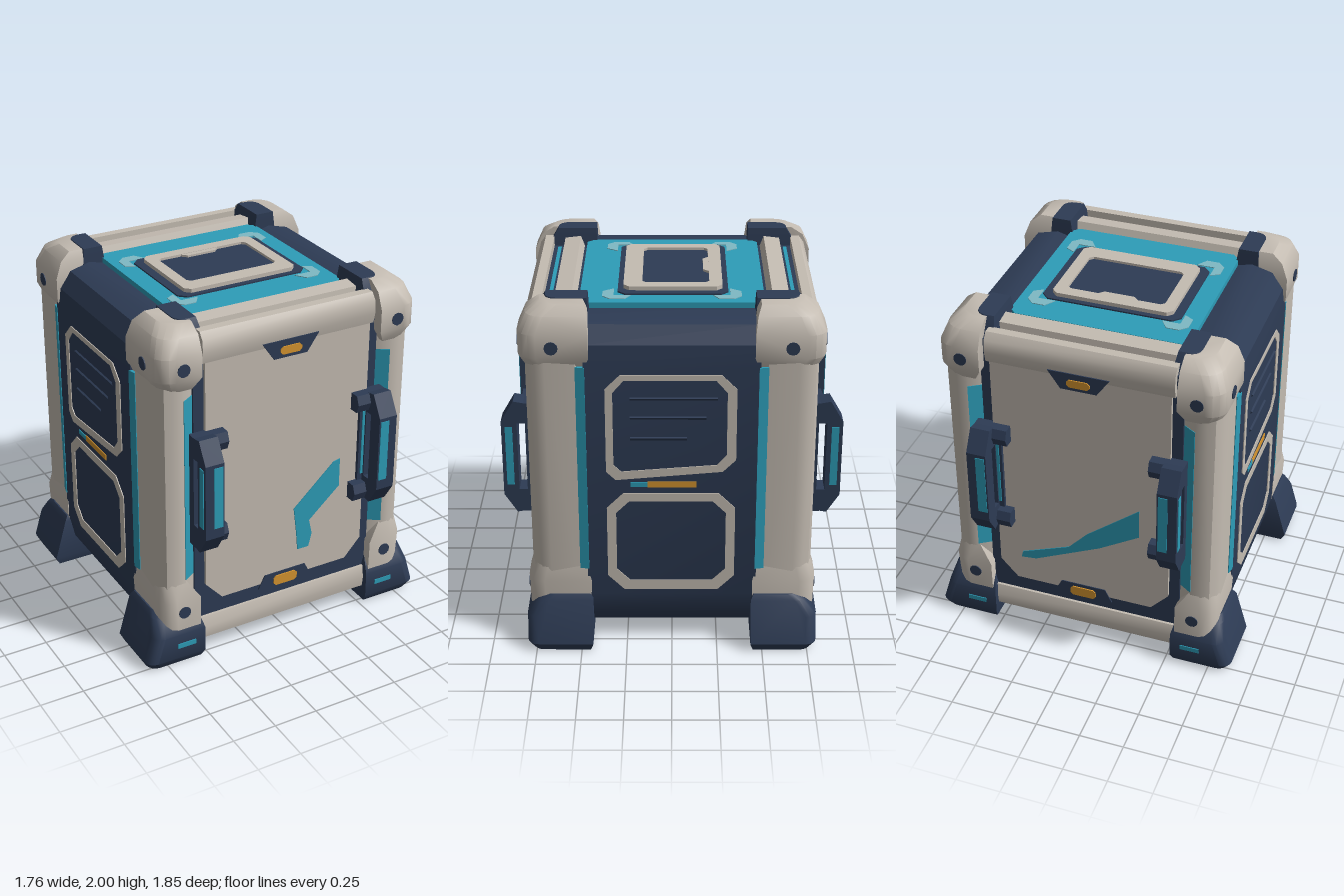
import * as THREE from 'three';
import { toCreasedNormals } from 'three/addons/utils/BufferGeometryUtils.js';
import { ConvexGeometry } from 'three/addons/geometries/ConvexGeometry.js';

const mat = (name, color) => Object.assign(new THREE.MeshStandardMaterial({ color }), { name });
const beige = mat('warm beige', 0xc4bcb2);
const navy = mat('navy', 0x2d3b54);
const teal = mat('teal', 0x2d9db8);
const orange = mat('orange', 0xd6952f);
const pale = mat('pale teal', 0x7fb9c4);

function add(parent, name, geometry, material) {
  const mesh = new THREE.Mesh(geometry, material);
  mesh.name = name;
  parent.add(mesh);
  return mesh;
}

function group(parent, name) {
  const g = new THREE.Group();
  g.name = name;
  parent.add(g);
  return g;
}

// Box given by its limits
function box(x0, x1, y0, y1, z0, z1) {
  return new THREE.BoxGeometry(x1 - x0, y1 - y0, z1 - z0)
    .translate((x0 + x1) / 2, (y0 + y1) / 2, (z0 + z1) / 2);
}

// Flat polygon with optional hole, extruded from z0 to z1
function prism(points, z0, z1, hole) {
  const vec = (list) => list.map(([x, y]) => new THREE.Vector2(x, y));
  const shape = new THREE.Shape(vec(points));
  if (hole) shape.holes.push(new THREE.Path(vec(hole)));
  return new THREE.ExtrudeGeometry(shape, { depth: z1 - z0, bevelEnabled: false }).translate(0, 0, z0);
}

// Profile in (z, y) extruded along x
const alongX = (profile, x0, x1, hole) => prism(profile, -x1, -x0, hole).rotateY(-Math.PI / 2);
// Profile in (x, z) extruded along y
const alongY = (profile, y0, y1) => prism(profile, -y1, -y0).rotateX(Math.PI / 2);

// Rectangle with cut corners
function octagon(x0, x1, y0, y1, c) {
  return [[x0 + c, y0], [x1 - c, y0], [x1, y0 + c], [x1, y1 - c],
    [x1 - c, y1], [x0 + c, y1], [x0, y1 - c], [x0, y0 + c]];
}

// Corner block from levels [y, x0, x1, z0, z1], outer corner rounded by c
function cornerBlock(levels, c) {
  const points = [];
  for (const [y, x0, x1, z0, z1] of levels) {
    points.push(new THREE.Vector3(x0, y, z0), new THREE.Vector3(x1, y, z0), new THREE.Vector3(x0, y, z1));
    for (let i = 0; i <= 4; i++) {
      const a = (i / 4) * Math.PI / 2;
      points.push(new THREE.Vector3(x1 - c + c * Math.cos(a), y, z1 - c + c * Math.sin(a)));
    }
  }
  return toCreasedNormals(new ConvexGeometry(points), 0.6);
}

// One corner: post, cap, foot and bolts, for +x and +z
function buildCorner(root, sx, sz) {
  const g = group(root, 'corner');
  g.scale.set(sx, 1, sz);
  const section = [[0.55, 0.45], [0.72, 0.45], [0.77, 0.5], [0.775, 0.66], [0.765, 0.71],
    [0.735, 0.75], [0.69, 0.765], [0.63, 0.765], [0.56, 0.72]];
  add(g, 'cornerPost', toCreasedNormals(alongY(section, 0.25, 1.8), 0.6), beige);
  add(g, 'frontPostStrip', alongY([[0.565, 0.715], [0.632, 0.76], [0.63, 0.769], [0.561, 0.724]], 0.52, 1.6), teal);
  add(g, 'sidePostStrip', alongY([[0.715, 0.45], [0.765, 0.5], [0.774, 0.502], [0.784, 0.452]], 0.48, 1.68), teal);

  add(g, 'topCap', cornerBlock([
    [1.66, 0.58, 0.755, 0.46, 0.765], [1.73, 0.54, 0.785, 0.43, 0.8], [1.86, 0.54, 0.785, 0.43, 0.8],
    [1.95, 0.54, 0.75, 0.44, 0.76], [1.995, 0.54, 0.69, 0.46, 0.69]], 0.1), beige);
  add(g, 'topCapLiner', cornerBlock([
    [1.7, 0.485, 0.58, 0.435, 0.73], [1.9, 0.485, 0.62, 0.435, 0.72], [2, 0.5, 0.61, 0.44, 0.66]], 0.06), navy);

  add(g, 'lowerCap', cornerBlock([
    [0.15, 0.55, 0.775, 0.45, 0.785], [0.4, 0.55, 0.785, 0.44, 0.79], [0.52, 0.63, 0.765, 0.47, 0.76]], 0.09), beige);
  add(g, 'foot', cornerBlock([
    [0, 0.54, 0.855, 0.45, 0.77], [0.05, 0.53, 0.88, 0.435, 0.8], [0.2, 0.53, 0.835, 0.435, 0.8],
    [0.29, 0.55, 0.81, 0.435, 0.74], [0.32, 0.57, 0.79, 0.45, 0.7]], 0.06), navy);
  add(g, 'footMark', box(0.59, 0.7, 0.115, 0.143, 0.797, 0.805), teal);

  const bolt = () => new THREE.CylinderGeometry(0.036, 0.036, 0.02, 12);
  add(g, 'bolt', bolt().rotateX(Math.PI / 2).translate(0.645, 1.79, 0.794), navy);
  add(g, 'bolt', bolt().rotateX(Math.PI / 2).translate(0.65, 0.33, 0.784), navy);
  add(g, 'bolt', bolt().rotateZ(Math.PI / 2).translate(0.78, 1.79, 0.62), navy);
}

// Carrying handle at +x on a door
function buildHandle(face, side) {
  const g = group(face, 'handle');
  g.scale.x = side;
  const outer = [[0.74, 0.75], [0.85, 0.73], [0.92, 0.84], [0.92, 1.28], [0.85, 1.4], [0.74, 1.38]];
  const hole = [[0.79, 0.87], [0.835, 0.87], [0.835, 1.27], [0.79, 1.27]];
  add(g, 'handleGrip', alongX(outer, 0.48, 0.59, hole), navy);
  add(g, 'handleGripInset', box(0.488, 0.54, 0.9, 1.26, 0.916, 0.924), teal);
  add(g, 'handleGripSideInset', box(0.586, 0.594, 0.9, 1.25, 0.86, 0.9), teal);
  add(g, 'handleBase', box(0.45, 0.58, 0.84, 1.3, 0.73, 0.775), navy);
  add(g, 'handleBaseInset', box(0.465, 0.57, 0.88, 1.27, 0.773, 0.781), teal);
  for (const y of [0.735, 1.29]) {
    add(g, 'handleMount', alongX([[0.74, y], [0.81, y], [0.83, y + 0.05], [0.81, y + 0.1], [0.74, y + 0.1]], 0.4, 0.59), navy);
  }
}

// Front or back door, modelled facing +z
function buildDoor(root, name, streak) {
  const g = group(root, name);
  add(g, 'doorPanel', prism([[-0.4, 0.33], [0.4, 0.33], [0.5, 0.44], [0.5, 1.85], [-0.5, 1.85], [-0.5, 0.44]], 0.7, 0.755), beige);
  add(g, 'topRail', toCreasedNormals(alongX([[0.68, 1.78], [0.756, 1.78], [0.77, 1.84], [0.765, 1.91],
    [0.735, 1.95], [0.685, 1.95]], -0.52, 0.52), 0.6), beige);
  add(g, 'innerTopRail', alongX([[0.5, 1.88], [0.63, 1.88], [0.62, 1.945], [0.53, 1.955]], -0.5, 0.5), beige);
  add(g, 'bottomRail', toCreasedNormals(alongX([[0.56, 0.08], [0.72, 0.07], [0.76, 0.1], [0.77, 0.17],
    [0.75, 0.23], [0.56, 0.23]], -0.54, 0.54), 0.6), beige);
  add(g, 'topTab', prism([[-0.1, 1.71], [0.1, 1.71], [0.17, 1.81], [-0.17, 1.81]], 0.76, 0.769), navy);
  add(g, 'topLight', prism(octagon(-0.065, 0.065, 1.73, 1.775, 0.015), 0.767, 0.775), orange);
  add(g, 'bottomTab', prism([[-0.17, 0.3], [0.17, 0.3], [0.13, 0.38], [-0.13, 0.38]], 0.752, 0.76), navy);
  add(g, 'bottomLight', prism(octagon(-0.075, 0.075, 0.3, 0.36, 0.015), 0.759, 0.767), orange);
  add(g, 'grooveStrip', box(-0.45, 0.45, 1.898, 1.906, 0.64, 0.66), teal);
  add(g, 'paintStreak', prism(streak, 0.752, 0.76), teal);
  for (const side of [-1, 1]) buildHandle(g, side);
  return g;
}

// Side panel trim, drawn facing +z and then turned to face +x
function buildSide(root, name) {
  const turned = group(root, name);
  const g = group(turned, 'sideTrim');
  g.rotation.y = Math.PI / 2;
  const upper = [[-0.3, 1.03], [0.27, 1.08], [0.34, 1.15], [0.34, 1.56], [0.26, 1.64], [-0.27, 1.64], [-0.35, 1.56], [-0.35, 1.08]];
  const upperHole = [[-0.27, 1.08], [0.24, 1.12], [0.29, 1.18], [0.29, 1.54], [0.23, 1.61], [-0.25, 1.61], [-0.31, 1.54], [-0.31, 1.12]];
  add(g, 'upperFrame', prism(upper, 0.776, 0.785, upperHole), beige);
  add(g, 'lowerFrame', prism(octagon(-0.35, 0.34, 0.35, 0.95, 0.09), 0.776, 0.785,
    octagon(-0.3, 0.29, 0.41, 0.9, 0.07)), beige);
  for (const [y, w] of [[1.51, 0.46], [1.4, 0.4], [1.28, 0.3]]) {
    const slat = [[0.77, y - 0.03], [0.79, y], [0.77, y + 0.008]];
    add(g, 'ventSlat', alongX(slat, -0.22, -0.22 + w), navy);
  }
  add(g, 'sideLight', box(-0.13, 0.13, 0.985, 1.02, 0.777, 0.785), orange);
  add(g, 'sideLightEnd', box(-0.22, -0.13, 0.99, 1.015, 0.777, 0.785), teal);
  return turned;
}

// Layered plate for the lid and the underside, built facing +z
function buildPlate(root, name, centreColor) {
  const g = group(root, name);
  add(g, 'plateBase', prism(octagon(-0.5, 0.5, -0.49, 0.49, 0.04), 0, 0.04), teal);
  add(g, 'plateStep', prism(octagon(-0.39, 0.39, -0.29, 0.3, 0.04), 0.03, 0.048), navy);
  add(g, 'plateRing', prism(octagon(-0.34, 0.34, -0.26, 0.27, 0.03), 0.04, 0.07,
    octagon(-0.275, 0.275, -0.16, 0.2, 0.02)), beige);
  add(g, 'plateCentre', prism(octagon(-0.28, 0.28, -0.17, 0.21, 0.02), 0.045, 0.056), centreColor);
  return g;
}

export function createModel() {
  const root = new THREE.Group();
  root.name = 'supplyCrate';

  // Body core and bulging side walls
  add(root, 'bodyCore', box(-0.56, 0.56, 0.12, 1.9, -0.735, 0.735), navy);
  const half = [[0.5, 0.1], [0.7, 0.11], [0.75, 0.18], [0.78, 0.32], [0.78, 1.68], [0.765, 1.8], [0.7, 1.89], [0.58, 1.92], [0.5, 1.9]];
  const outline = [...half, ...half.map(([x, y]) => [-x, y]).reverse()];
  add(root, 'sideWalls', toCreasedNormals(prism(outline, -0.46, 0.46), 0.5), navy);

  for (const sx of [-1, 1]) for (const sz of [-1, 1]) buildCorner(root, sx, sz);

  buildDoor(root, 'frontDoor', [[0.08, 0.49], [0.15, 0.49], [0.17, 0.57], [0.15, 0.66], [0.34, 0.83],
    [0.34, 1], [0.3, 0.99], [0.05, 0.76], [0.07, 0.6]]);
  buildDoor(root, 'backDoor', [[-0.37, 0.49], [-0.28, 0.5], [0.1, 0.68], [0.33, 0.82], [0.33, 1],
    [0.03, 0.76], [-0.08, 0.64], [-0.36, 0.53]]).rotation.y = Math.PI;

  buildSide(root, 'rightSide');
  buildSide(root, 'leftSide').rotation.y = Math.PI;

  // Lid with its frame tab and corner patches
  const lid = buildPlate(root, 'lid', navy);
  lid.rotation.x = -Math.PI / 2;
  lid.position.y = 1.89;
  add(lid, 'ringTab', prism([[-0.1, 0.17], [0.07, 0.17], [0.11, 0.21], [-0.14, 0.21]], 0.05, 0.068), beige);
  for (const sx of [-1, 1]) for (const sy of [-1, 1]) {
    const patch = add(lid, 'cornerPatch', prism([[0.3, 0.31], [0.4, 0.31], [0.4, 0.22], [0.45, 0.25],
      [0.45, 0.33], [0.41, 0.37], [0.34, 0.37]], 0.037, 0.044), pale);
    patch.scale.set(sx, sy, 1);
  }

  const underside = buildPlate(root, 'underside', teal);
  underside.rotation.x = Math.PI / 2;
  underside.position.y = 0.14;
  add(underside, 'undersideBorder', prism(octagon(-0.47, 0.47, -0.46, 0.46, 0.05), 0.036, 0.044), navy);

  return root;
}
